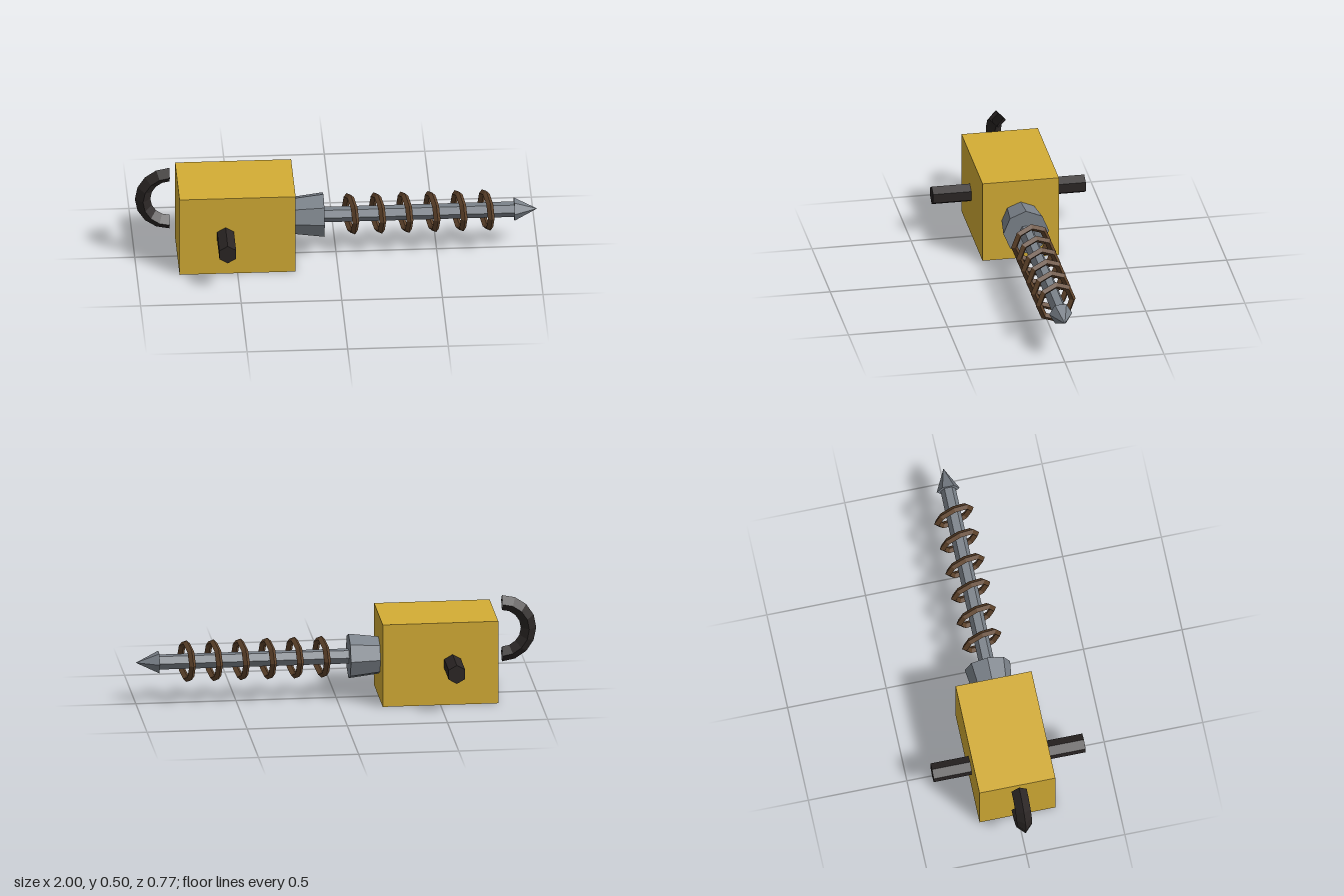
import * as THREE from 'three';

const AXIS_Y = 0.212;

const material = (color, side = THREE.FrontSide) =>
  new THREE.MeshStandardMaterial({ color, flatShading: true, side });

export function createModel() {
  const model = new THREE.Group();
  model.name = 'handDrill';

  const yellow = material(0xd4ad35);
  const black = material(0x2b2625);
  const blackOpen = material(0x2b2625, THREE.DoubleSide);
  const steel = material(0x7c838b);
  const brown = material(0x5f432b);

  const add = (name, geometry, mat, x, y = AXIS_Y, parent = model) => {
    const mesh = new THREE.Mesh(geometry, mat);
    mesh.name = name;
    mesh.position.set(x, y, 0);
    parent.add(mesh);
    return mesh;
  };

  // Cylinder or cone lying along x between two stations
  const alongX = (name, x0, x1, r0, r1, sides) =>
    add(name, new THREE.CylinderGeometry(r1, r0, x1 - x0, sides).rotateZ(-Math.PI / 2),
      steel, (x0 + x1) / 2);

  // Motor housing
  add('housing', new THREE.BoxGeometry(0.577, 0.424, 0.385), yellow, -0.5);

  // Hexagonal grip bar, passing through the housing
  add('gripBar', new THREE.CylinderGeometry(0.048, 0.048, 0.77, 6).rotateX(Math.PI / 2),
    black, -0.56);

  // Half-ring hook behind the housing
  add('rearHook', new THREE.TorusGeometry(0.133, 0.0385, 4, 8, Math.PI).rotateZ(Math.PI / 2),
    blackOpen, -0.828, 0.33);

  // Chuck, shaft and pointed tip
  alongX('chuck', -0.212, -0.062, 0.096, 0.115, 8);
  alongX('shaft', -0.062, 0.885, 0.0385, 0.0385, 6);
  alongX('tip', 0.885, 1, 0.058, 0, 6);

  // Tilted rings forming the auger thread
  const thread = new THREE.Group();
  thread.name = 'augerThread';
  model.add(thread);
  const ring = new THREE.TorusGeometry(0.0905, 0.0175, 4, 8).rotateY(Math.PI / 2 + 0.23);
  for (let i = 0; i < 6; i++) {
    add(`threadRing${i + 1}`, ring, brown, 0.073 + i * 0.1347, AXIS_Y, thread);
  }

  return model;
}
